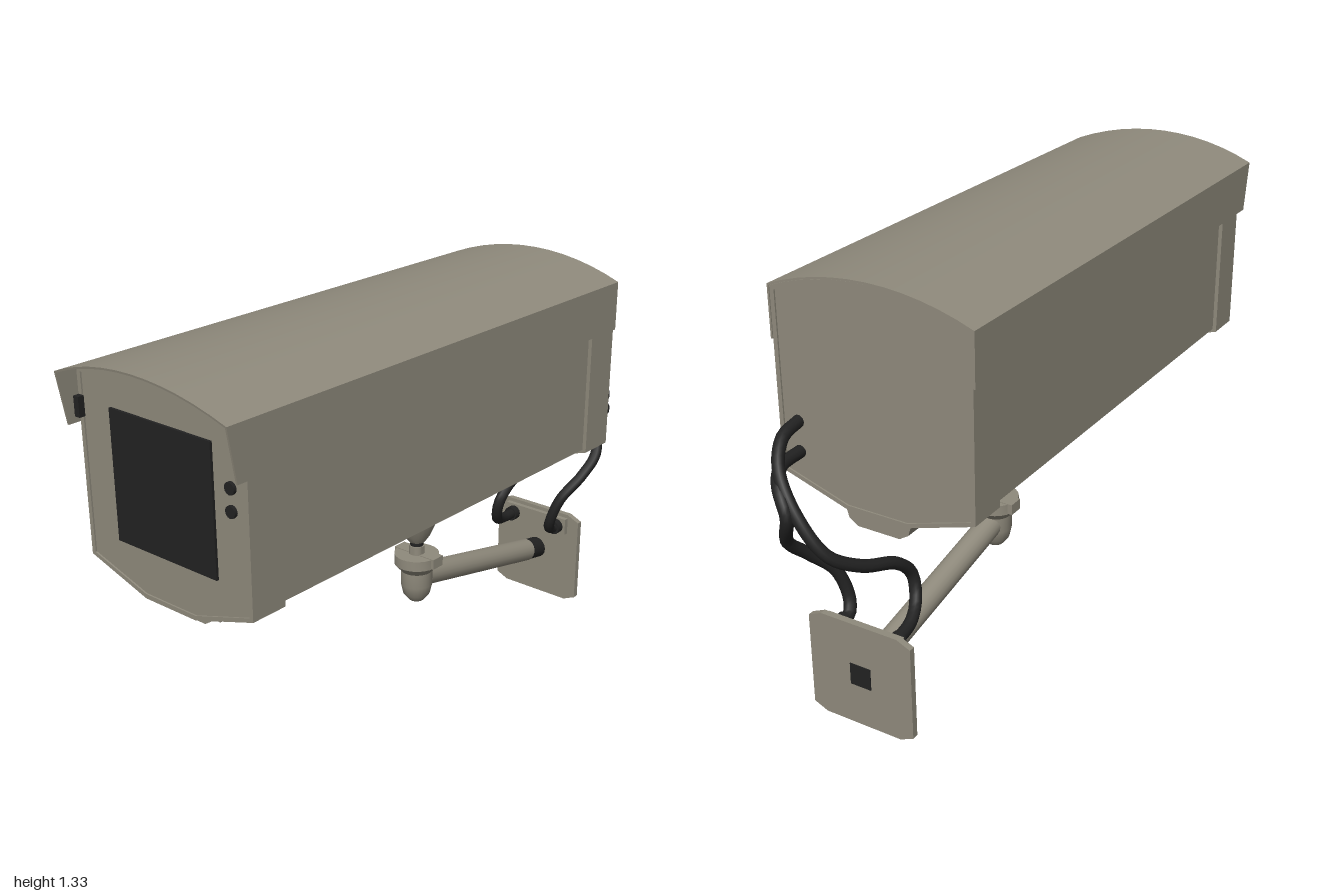
import * as THREE from 'three';
import { toCreasedNormals } from 'three/addons/utils/BufferGeometryUtils.js';

const beige = new THREE.MeshStandardMaterial({ color: 0x8f8a7c });
beige.name = 'beige metal';
const black = new THREE.MeshStandardMaterial({ color: 0x222222 });
black.name = 'black';

const ARC_R = 0.87, ARC_Y = 0.455;

// Points along the curved roof, from +x to -x, inset by d from the outer skin
function roof(d) {
  const pts = [], half = Math.asin((0.33 - d) / (ARC_R - d));
  for (let i = 0; i <= 12; i++) {
    const a = half - (2 * half * i) / 12;
    pts.push(new THREE.Vector2(Math.sin(a) * (ARC_R - d), ARC_Y + Math.cos(a) * (ARC_R - d)));
  }
  return pts;
}

// Cross-section of the housing, inset by d
function section(d) {
  return [
    new THREE.Vector2(-0.33 + d, 0.695 + d * 0.6), new THREE.Vector2(-0.1, 0.622 + d),
    new THREE.Vector2(0.1, 0.622 + d), new THREE.Vector2(0.33 - d, 0.695 + d * 0.6),
    ...roof(d),
  ];
}

function extrude(shape, z0, z1) {
  const g = new THREE.ExtrudeGeometry(shape, { depth: z1 - z0, bevelEnabled: false, curveSegments: 8 });
  g.translate(0, 0, z0);
  return g;
}

export function createModel() {
  const model = new THREE.Group();

  function add(name, geo, mat = beige, pos = [0, 0, 0], parent = model) {
    const m = new THREE.Mesh(geo, mat);
    m.name = name;
    m.position.set(...pos);
    parent.add(m);
    return m;
  }
  const box = (name, w, h, d, pos, mat) => add(name, new THREE.BoxGeometry(w, h, d), mat, pos);
  const lathe = (name, pts, pos) => add(name, toCreasedNormals(
    new THREE.LatheGeometry(pts.map(p => new THREE.Vector2(...p)), 24), 0.7), beige, pos);

  // Housing: inset middle, with a rimmed cap at each end
  add('housing', toCreasedNormals(extrude(new THREE.Shape(section(0.02)), -0.7, 0.85), 0.5));
  for (const [name, z0, z1, p0, p1] of [
    ['front', 0.8, 0.92, 0.81, 0.915], ['rear', -0.77, -0.645, -0.765, -0.66]]) {
    const rim = new THREE.Shape(section(0.007));
    rim.holes.push(new THREE.Path(section(0.021)));
    add(name + 'CapRim', toCreasedNormals(extrude(rim, z0, z1), 0.5));
    add(name + 'Panel', toCreasedNormals(extrude(new THREE.Shape(section(0.02)), p0, p1), 0.5));
  }

  // Sunshield: thin curved hood whose front edge rakes forward at the top
  const hoodShape = new THREE.Shape([
    new THREE.Vector2(0.33, 1.1), ...roof(0), new THREE.Vector2(-0.33, 1.1),
    new THREE.Vector2(-0.324, 1.1), ...roof(0.006).reverse(), new THREE.Vector2(0.324, 1.1),
  ]);
  const hood = extrude(hoodShape, -0.772, 1);
  const p = hood.attributes.position;
  for (let i = 0; i < p.count; i++) {
    if (p.getZ(i) > 0.5) p.setZ(i, 1 - ((1.325 - p.getY(i)) / 0.225) * 0.04);
  }
  hood.computeVertexNormals();
  add('sunshield', toCreasedNormals(hood, 0.5));

  // Front window, sensors and hood clips
  box('window', 0.39, 0.39, 0.008, [0, 0.975, 0.919], black);
  for (const y of [0.995, 1.06]) {
    const sensor = add('sensor', new THREE.CylinderGeometry(0.018, 0.018, 0.012, 12), black, [0.26, y, 0.919]);
    sensor.rotation.x = Math.PI / 2;
  }
  box('hoodClip', 0.02, 0.06, 0.02, [-0.311, 1.15, 0.93], black);
  box('hoodClip', 0.02, 0.03, 0.02, [0.311, 1.24, 0.93], black);

  // Bottom rail, its two runners and the side slots
  const rail = new THREE.Shape([[-0.107, 0.66], [-0.107, 0.625], [-0.1, 0.602], [-0.07, 0.583],
    [0.07, 0.583], [0.1, 0.602], [0.107, 0.625], [0.107, 0.66]].map(q => new THREE.Vector2(...q)));
  add('bottomRail', extrude(rail, -0.765, 0.86));
  box('frontRunner', 0.13, 0.03, 0.86, [0, 0.576, 0.37]);
  box('rearRunner', 0.13, 0.03, 0.4, [0, 0.576, -0.44]);
  for (const s of [-1, 1]) {
    box('railSlot', 0.008, 0.02, 0.2, [s * 0.108, 0.622, 0.335], black);
    box('runnerSlot', 0.008, 0.02, 0.23, [s * 0.066, 0.576, 0.37], black);
  }

  // Swivel mount: upper cone, pin, clamp and knuckle
  lathe('upperCone', [[0, 0.455], [0.028, 0.455], [0.045, 0.48], [0.068, 0.535], [0.075, 0.565], [0.075, 0.59]], [0, 0, -0.15]);
  add('swivelPin', new THREE.CylinderGeometry(0.022, 0.022, 0.09, 16), black, [0, 0.43, -0.15]);
  lathe('pinCollar', [[0.026, 0.4], [0.026, 0.44], [0, 0.44]], [0, 0, -0.15]);
  lathe('knuckle', [[0, 0.235], [0.025, 0.24], [0.045, 0.265], [0.053, 0.3], [0.053, 0.35],
    [0.075, 0.375], [0.075, 0.41], [0, 0.41]], [0, 0, -0.15]);
  box('clamp', 0.165, 0.035, 0.05, [0, 0.395, -0.16]);

  // Arm sloping back to the wall
  const rod = (name, a, b, r, mat) => add(name, new THREE.TubeGeometry(
    new THREE.LineCurve3(new THREE.Vector3(...a), new THREE.Vector3(...b)), 1, r, 20), mat);
  rod('arm', [0, 0.325, -0.16], [0, 0.188, -0.79], 0.04, beige);
  rod('armSocket', [0, 0.19, -0.78], [0, 0.174, -0.865], 0.038, black);

  // Wall plate with cut corners, cable box and rear opening
  const plate = new THREE.Shape([[-0.13, 0], [0.13, 0], [0.175, 0.02], [0.175, 0.32], [0.13, 0.34],
    [-0.13, 0.34], [-0.175, 0.32], [-0.175, 0.02]].map(q => new THREE.Vector2(...q)));
  add('wallPlate', extrude(plate, -0.882, -0.862));
  box('cableBox', 0.26, 0.06, 0.02, [0, 0.297, -0.855]);
  box('rearOpening', 0.07, 0.07, 0.006, [0, 0.17, -0.882], black);

  // Cables from the rear panel down to the cable box
  const cables = [
    [[0.26, 0.77, -0.76], [0.25, 0.77, -0.86], [0.2, 0.755, -0.94], [0.15, 0.69, -0.972], [0.19, 0.58, -0.93],
      [0.18, 0.51, -0.86], [0.14, 0.43, -0.79], [0.11, 0.34, -0.775], [0.095, 0.3, -0.8], [0.095, 0.295, -0.86]],
    [[0.26, 0.865, -0.76], [0.25, 0.85, -0.85], [0.21, 0.79, -0.92], [0.13, 0.69, -0.955], [0.05, 0.58, -0.935],
      [0, 0.52, -0.85], [-0.03, 0.475, -0.73], [-0.04, 0.41, -0.67], [-0.06, 0.34, -0.685],
      [-0.085, 0.305, -0.75], [-0.095, 0.295, -0.86]],
  ];
  for (const c of cables) {
    const curve = new THREE.CatmullRomCurve3(c.map(q => new THREE.Vector3(...q)));
    add('cable', new THREE.TubeGeometry(curve, 48, 0.019, 10), black);
  }
  for (const s of [-1, 1]) {
    const gland = add('cableGland', new THREE.CylinderGeometry(0.026, 0.026, 0.03, 12), black, [s * 0.095, 0.295, -0.835]);
    gland.rotation.x = Math.PI / 2;
  }
  return model;
}
